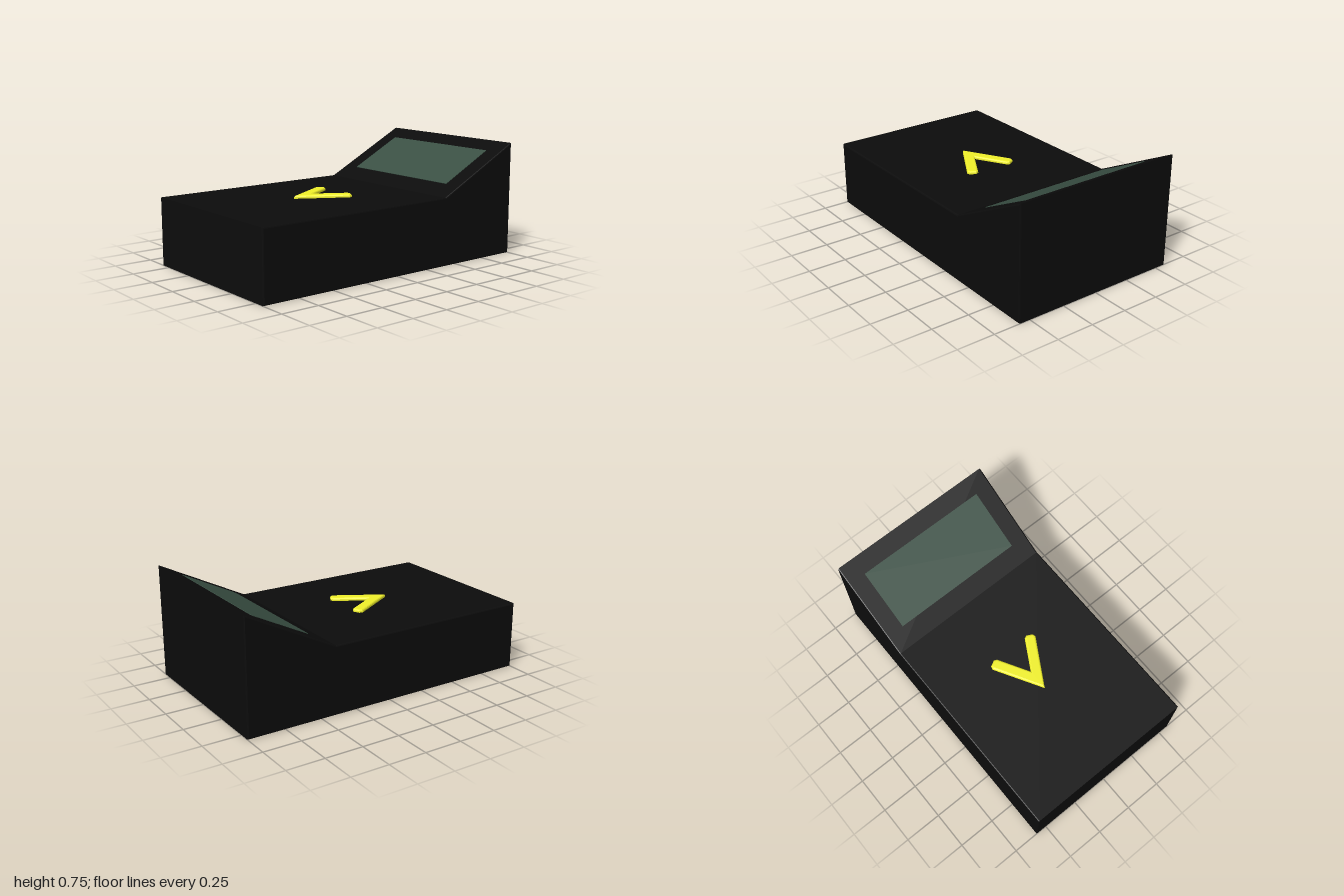
import * as THREE from 'three';

const material = (color) => new THREE.MeshStandardMaterial({ color });

// Extrude a closed outline with a small bevel that stays inside the outline
function bevelled(points, total, bevel, segments) {
  const shape = new THREE.Shape(points.map(([x, y]) => new THREE.Vector2(x, y)));
  return new THREE.ExtrudeGeometry(shape, {
    depth: total - 2 * bevel,
    bevelEnabled: true,
    bevelSize: bevel,
    bevelThickness: bevel,
    bevelOffset: -bevel,
    bevelSegments: segments,
  }).translate(0, 0, bevel);
}

export function createModel() {
  const group = new THREE.Group();
  const width = 1.155;
  const deckY = 0.447;
  const slopeStart = new THREE.Vector2(0.4, deckY);
  const slopeEnd = new THREE.Vector2(1, 0.75);

  // Wedge-ended casing
  const profile = [[-1, 0], [1, 0], [1, 0.75], [0.4, deckY], [-1, deckY]];
  const body = new THREE.Mesh(
    bevelled(profile, width, 0.008, 2).translate(0, 0, -width / 2),
    material(0x0c0c0c)
  );
  body.name = 'casing';
  group.add(body);

  // Display panel lying on the slope
  const dir = slopeEnd.clone().sub(slopeStart);
  const angle = Math.atan2(dir.y, dir.x);
  const x0 = 0.52, x1 = 0.89;
  const midX = (x0 + x1) / 2;
  const screen = new THREE.Mesh(
    new THREE.BoxGeometry((x1 - x0) / Math.cos(angle), 0.006, 0.912),
    material(0x3a5044)
  );
  screen.name = 'screen';
  screen.position.set(midX, deckY + (midX - slopeStart.x) * Math.tan(angle), 0);
  screen.rotation.z = angle;
  group.add(screen);

  // Raised arrow on the deck, with clipped arm ends
  const arm = [[-0.23, 0], [-0.03, -0.115], [-0.02, -0.135], [-0.04, -0.174], [-0.062, -0.18]];
  const mirrored = arm.slice(1).reverse().map(([x, y]) => [x, -y]);
  const outline = [...arm, [-0.37, 0], ...mirrored];
  const arrow = new THREE.Mesh(bevelled(outline, 0.05, 0.014, 4), material(0xf2f22a));
  arrow.name = 'arrow';
  arrow.rotation.x = -Math.PI / 2;
  arrow.position.y = 0.417;
  group.add(arrow);

  return group;
}
